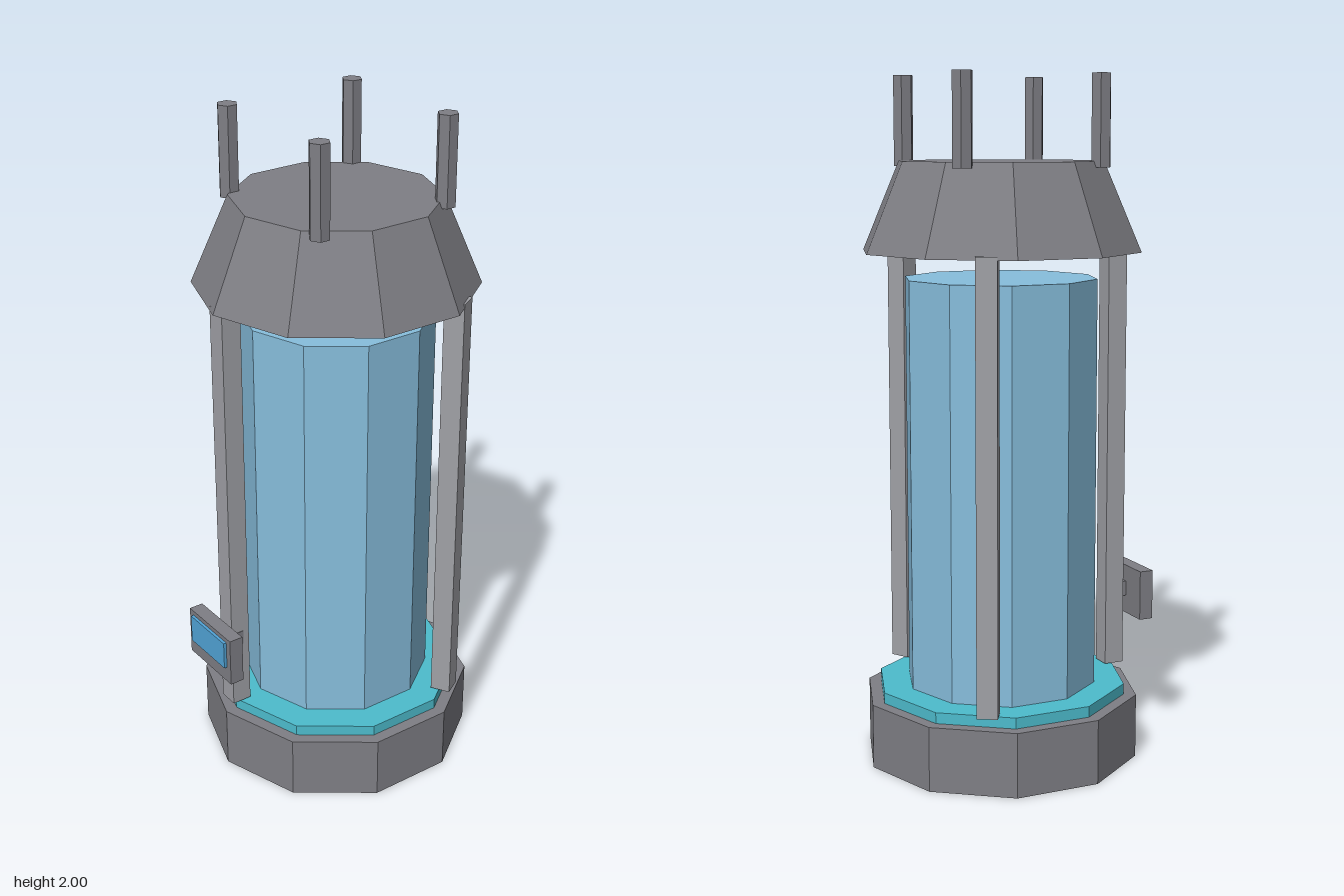
import * as THREE from 'three';

const mat = (name, color) => {
  const m = new THREE.MeshStandardMaterial({ color, flatShading: true });
  m.name = name;
  return m;
};

export function createModel() {
  const metal = mat('darkMetal', 0x7f7f85);
  const strut = mat('lightMetal', 0xa0a1a6);
  const glass = mat('tankBlue', 0x87bedd);
  const teal = mat('ringTeal', 0x4dbccd);
  const display = mat('displayBlue', 0x52a5d8);

  const model = new THREE.Group();
  model.name = 'containmentTank';

  // Everything round shares this axis, set back to leave room for the display
  const axisZ = -0.03;

  const add = (name, geometry, material, x, y, z, parent = model) => {
    const mesh = new THREE.Mesh(geometry, material);
    mesh.name = name;
    mesh.position.set(x, y, z);
    parent.add(mesh);
    return mesh;
  };
  // Prism or frustum between two heights
  const prism = (name, rTop, rBottom, y0, y1, material, sides = 10, x = 0, z = axisZ) =>
    add(name, new THREE.CylinderGeometry(rTop, rBottom, y1 - y0, sides), material, x, (y0 + y1) / 2, z);
  // Box given by its extents
  const box = (name, [x0, x1], [y0, y1], [z0, z1], material, parent) =>
    add(name, new THREE.BoxGeometry(x1 - x0, y1 - y0, z1 - z0), material,
      (x0 + x1) / 2, (y0 + y1) / 2, (z0 + z1) / 2, parent);

  // Ten-sided body
  prism('base', 0.41, 0.41, 0, 0.19, metal);
  prism('glowRing', 0.373, 0.373, 0.19, 0.222, teal);
  prism('tank', 0.284, 0.284, 0.222, 1.423, glass);
  prism('cap', 0.3, 0.41, 1.5, 1.757, metal);

  // Three pillars spaced evenly around the tank
  for (let i = 0; i < 3; i++) {
    const pivot = new THREE.Group();
    pivot.name = 'pillar' + (i + 1);
    pivot.position.z = axisZ;
    pivot.rotation.y = (i * Math.PI * 2) / 3;
    box('pillarPost', i ? [-0.03, 0.03] : [-0.04, 0.02], [0.226, 1.51], [0.335, 0.395], strut, pivot);
    model.add(pivot);
  }

  // Four six-sided pipes rising from the cap
  [[-0.215, -0.24], [0.208, -0.245], [-0.208, 0.185], [0.215, 0.18]].forEach(([x, z], i) =>
    prism('pipe' + (i + 1), 0.03, 0.03, 1.74, 2, metal, 6, x, z));

  // Display panel on a short arm
  box('displayArm', [-0.022, 0.022], [0.43, 0.475], [0.325, 0.39], metal);
  box('displayFrame', [-0.11, 0.11], [0.375, 0.525], [0.385, 0.428], metal);
  box('displayScreen', [-0.09, 0.09], [0.425, 0.511], [0.428, 0.437], display);

  return model;
}
